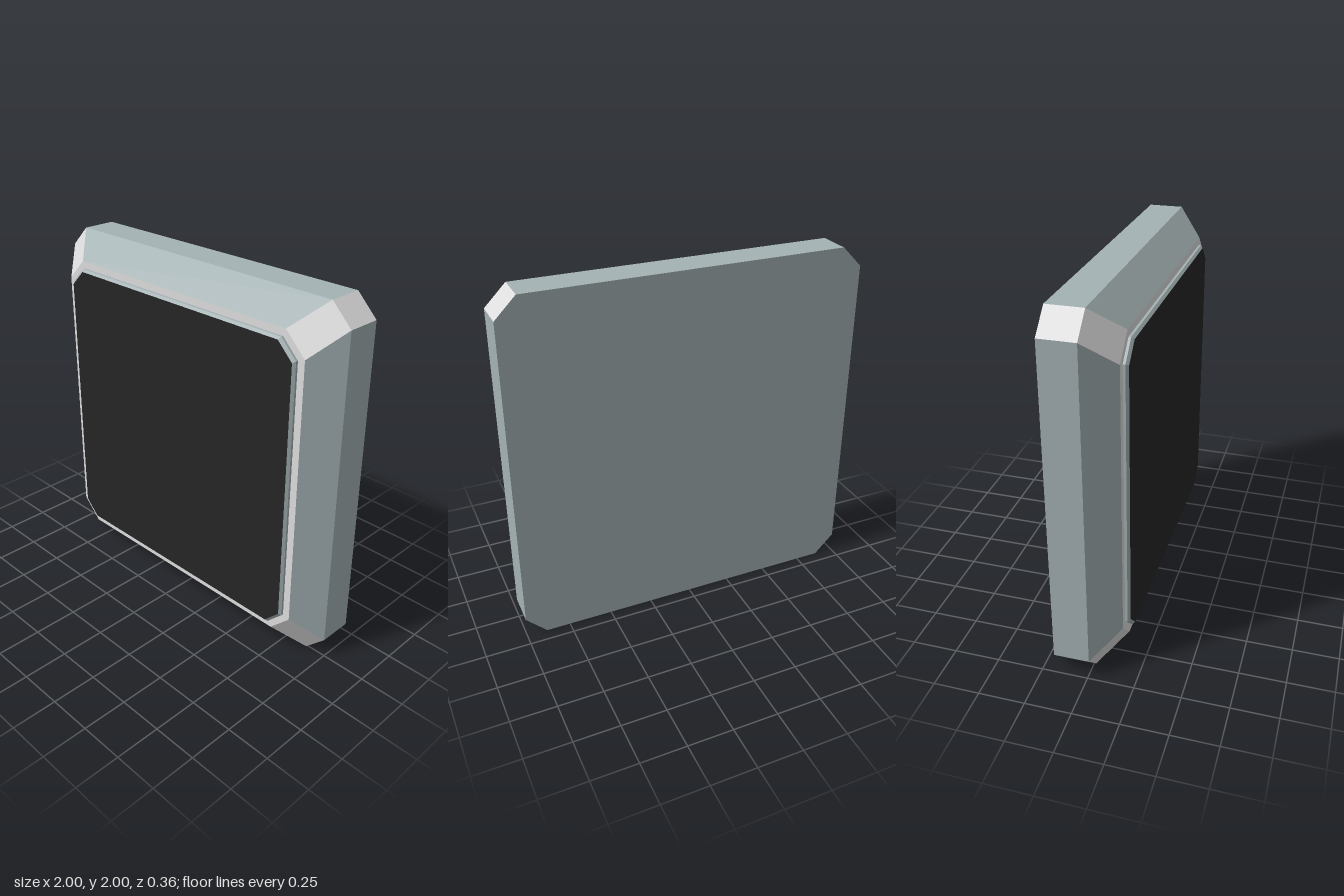
import * as THREE from 'three';

const material = (name, color) => {
  const m = new THREE.MeshStandardMaterial({ color });
  m.name = name;
  return m;
};

// Square of half-width h with corners cut by c, centred on y = 1, counter-clockwise from the front
function octagon(h, c, z) {
  const k = h - c;
  return [[h, -k], [h, k], [k, h], [-k, h], [-h, k], [-h, -k], [-k, -h], [k, -h]]
    .map(([x, y]) => [x, y + 1, z]);
}

// Flat-shaded mesh from a list of triangle corners
function facetMesh(name, points, mat) {
  const g = new THREE.BufferGeometry();
  g.setAttribute('position', new THREE.Float32BufferAttribute(points.flat(), 3));
  g.computeVertexNormals();
  const mesh = new THREE.Mesh(g, mat);
  mesh.name = name;
  return mesh;
}

// Walls between two octagons; parity 0 = straight sides, 1 = cut corners
function walls(back, front, parities = [0, 1]) {
  const out = [];
  for (let i = 0; i < 8; i++) {
    if (!parities.includes(i % 2)) continue;
    const j = (i + 1) % 8;
    out.push(back[i], back[j], front[j], back[i], front[j], front[i]);
  }
  return out;
}

// Filled octagon, facing forward or backward
function cap(loop, forward = true) {
  const out = [];
  for (let i = 1; i < 7; i++) {
    out.push(loop[0], ...(forward ? [loop[i], loop[i + 1]] : [loop[i + 1], loop[i]]));
  }
  return out;
}

export function createModel() {
  const teal = material('greyTeal', 0xa5b2b4);
  const grey = material('lightGrey', 0xdcdcdc);
  const black = material('screenBlack', 0x252525);
  const group = new THREE.Group();
  group.name = 'wallPanel';

  // Housing: straight block, then a wide bevel to the front
  const rear = octagon(1, 0.115, -0.18);
  const rim = octagon(1, 0.115, 0.01);
  const face = octagon(0.863, 0.12, 0.154);
  group.add(
    facetMesh('backPlate', cap(rear, false), teal),
    facetMesh('housingSides', [...walls(rear, rim, [0]), ...walls(rim, face, [0])], teal),
    facetMesh('housingCorners', [...walls(rear, rim, [1]), ...walls(rim, face, [1])], grey),
    facetMesh('frontFace', cap(face), grey),
  );

  // Screen frame with a small chamfer, and the dark screen
  const frameBase = octagon(0.823, 0.094, 0.154);
  const frameRim = octagon(0.823, 0.094, 0.167);
  const screen = octagon(0.81, 0.09, 0.18);
  group.add(
    facetMesh('screenFrame', [...walls(frameBase, frameRim), ...walls(frameRim, screen)], teal),
    facetMesh('screen', cap(screen), black),
  );
  return group;
}
